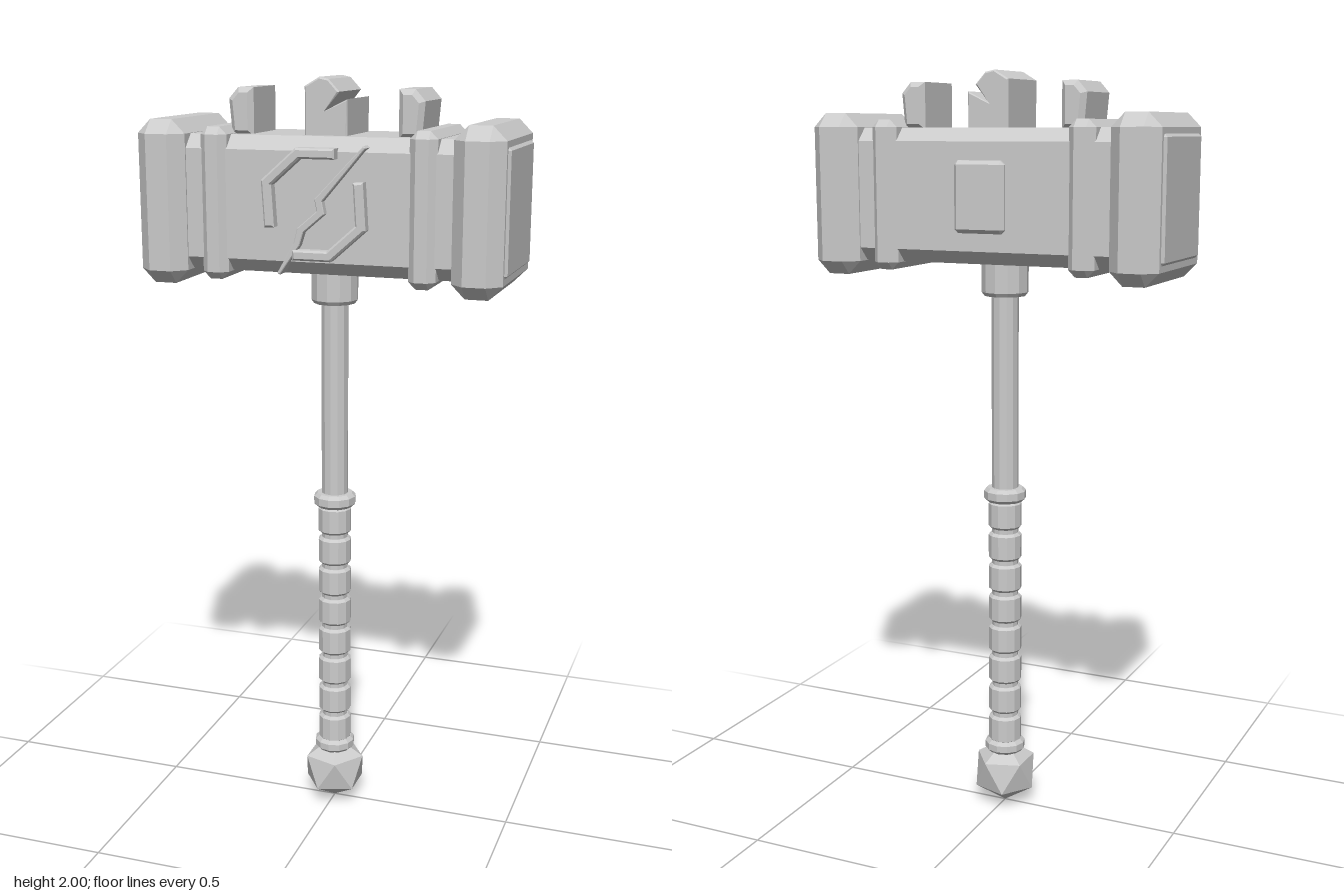
import * as THREE from 'three';
import { ConvexGeometry } from 'three/addons/geometries/ConvexGeometry.js';

const material = new THREE.MeshStandardMaterial({ color: 0xcccccc, flatShading: true });
const HEAD_Y = 1.69;

export function createModel() {
  const model = new THREE.Group();
  model.name = 'warHammer';

  const add = (parent, name, geometry, x = 0, y = 0, z = 0) => {
    const mesh = new THREE.Mesh(geometry, material);
    mesh.name = name;
    mesh.position.set(x, y, z);
    parent.add(mesh);
    return mesh;
  };

  // Box with every edge and corner cut off
  const chamferBox = (w, h, d, c) => {
    const points = [];
    for (const sx of [-1, 1]) for (const sy of [-1, 1]) for (const sz of [-1, 1]) {
      for (let axis = 0; axis < 3; axis++) {
        const cut = [0, 1, 2].map((i) => (i === axis ? 0 : c));
        points.push(new THREE.Vector3(
          sx * (w / 2 - cut[0]), sy * (h / 2 - cut[1]), sz * (d / 2 - cut[2])));
      }
    }
    return new ConvexGeometry(points);
  };

  // Bevelled slab whose outer outline and full depth match the arguments
  const slab = (points, depth, bevel) => {
    const shape = new THREE.Shape(points.map(([x, y]) => new THREE.Vector2(x, y)));
    const geometry = new THREE.ExtrudeGeometry(shape, {
      depth: depth - 2 * bevel, bevelEnabled: true, bevelSegments: 1,
      bevelThickness: bevel, bevelSize: bevel, bevelOffset: -bevel,
    });
    return geometry.translate(0, 0, bevel - depth / 2);
  };

  // Outline of a mitred stroke along a path, one half-width per point
  const stroke = (path, widths) => {
    const left = [], right = [];
    const pts = path.map(([x, y]) => new THREE.Vector2(x, y));
    pts.forEach((p, i) => {
      const a = p.clone().sub(pts[Math.max(i - 1, 0)]).normalize();
      const b = pts[Math.min(i + 1, pts.length - 1)].clone().sub(p).normalize();
      const t = a.clone().add(b).normalize();
      const ref = i === 0 ? b : a;
      const w = widths[i] / Math.max(0.5, t.dot(ref));
      left.push([p.x - t.y * w, p.y + t.x * w]);
      right.unshift([p.x + t.y * w, p.y - t.x * w]);
    });
    return [...left, ...right].reverse();
  };

  const lathe = (profile, sides) => new THREE.LatheGeometry(
    profile.map(([r, y]) => new THREE.Vector2(r, y)), sides);

  // Head: core block, striking caps, face plates and bands
  const head = new THREE.Group();
  head.name = 'head';
  model.add(head);
  add(head, 'headCore', chamferBox(0.8, 0.34, 0.296, 0.034), 0, HEAD_Y, -0.002);
  for (const s of [-1, 1]) {
    const side = s > 0 ? 'left' : 'right';
    add(head, side + 'StrikingCap', chamferBox(0.128, 0.412, 0.374, 0.035), s * 0.41, HEAD_Y, -0.002);
    add(head, side + 'FacePlate', chamferBox(0.05, 0.314, 0.286, 0.009), s * 0.456, HEAD_Y, -0.002);
    add(head, side + 'Band', chamferBox(0.07, 0.38, 0.328, 0.019), s * 0.271, HEAD_Y, -0.002);

    // Side prong, mirrored
    const outline = [[0.189, 1.855], [0.247, 1.855], [0.255, 1.945], [0.23, 1.973], [0.189, 1.973]]
      .map(([x, y]) => [s * x, y]);
    if (s < 0) outline.reverse();
    add(head, side + 'Prong', slab(outline, 0.178, 0.013), 0, 0, -0.002);
  }

  // Notched centre prong
  add(head, 'centreProng', slab([
    [-0.05, 1.85], [0.061, 1.85], [0.061, 1.948], [0.004, 1.92],
    [0.04, 1.965], [0.012, 1.995], [-0.012, 2], [-0.05, 1.978],
  ], 0.182, 0.004), 0, 0, -0.003);

  // Raised brackets on the front, the second a half turn of the first
  const bracket = [[0.055, 1.822], [-0.04, 1.822], [-0.122, 1.75], [-0.115, 1.64]];
  const turned = bracket.map(([x, y]) => [-x, 3.396 - y]);
  const half = bracket.map(() => 0.013);
  add(head, 'upperBracket', slab(stroke(bracket, half), 0.045, 0.005), 0, 0, 0.153);
  add(head, 'lowerBracket', slab(stroke(turned, half), 0.045, 0.005), 0, 0, 0.153);

  // Jagged bolt between the brackets
  const bolt = [[0.13, 1.84], [0.035, 1.735], [0.012, 1.71], [0.018, 1.68],
    [-0.035, 1.635], [-0.045, 1.6], [-0.093, 1.525]];
  add(head, 'bolt', slab(stroke(bolt, [0.004, 0.008, 0.009, 0.009, 0.009, 0.008, 0.004]), 0.06, 0.002),
    0, 0, 0.138);

  // Raised plate on the back
  add(head, 'backPlate', chamferBox(0.137, 0.18, 0.04, 0.01), 0, HEAD_Y, -0.148);

  // Handle: neck collar, shaft, wrapped grip and end rings
  const handle = new THREE.Group();
  handle.name = 'handle';
  model.add(handle);
  add(handle, 'neckCollar', lathe([[0, 1.43], [0.055, 1.43], [0.062, 1.44], [0.062, 1.56]], 12));
  add(handle, 'shaft', new THREE.CylinderGeometry(0.036, 0.036, 1.34, 12), 0, 0.8, 0);

  const ring = (r, h, b) => lathe([[0, -h / 2], [r - b, -h / 2], [r, -h / 2 + b],
    [r, h / 2 - b], [r - b, h / 2], [0, h / 2]], 12);
  for (let i = 0; i < 8; i++) {
    add(handle, 'gripWrap' + (i + 1), ring(0.045, 0.076, 0.007), 0, 0.222 + i * 0.0879, 0);
  }
  add(handle, 'upperRing', ring(0.057, 0.038, 0.009), 0, 0.894, 0);
  add(handle, 'lowerRing', ring(0.055, 0.036, 0.009), 0, 0.172, 0);

  // Faceted pommel: an icosahedron standing on one corner
  const R = 0.092;
  const corners = [new THREE.Vector3(0, R, 0), new THREE.Vector3(0, -R, 0)];
  for (let i = 0; i < 5; i++) {
    const a = (i / 5) * Math.PI * 2;
    const x = 0.894 * R * Math.cos(a), z = 0.894 * R * Math.sin(a);
    corners.push(new THREE.Vector3(x, 0.447 * R, z), new THREE.Vector3(-x, -0.447 * R, z));
  }
  add(handle, 'pommel', new ConvexGeometry(corners), 0, R, 0);

  return model;
}
